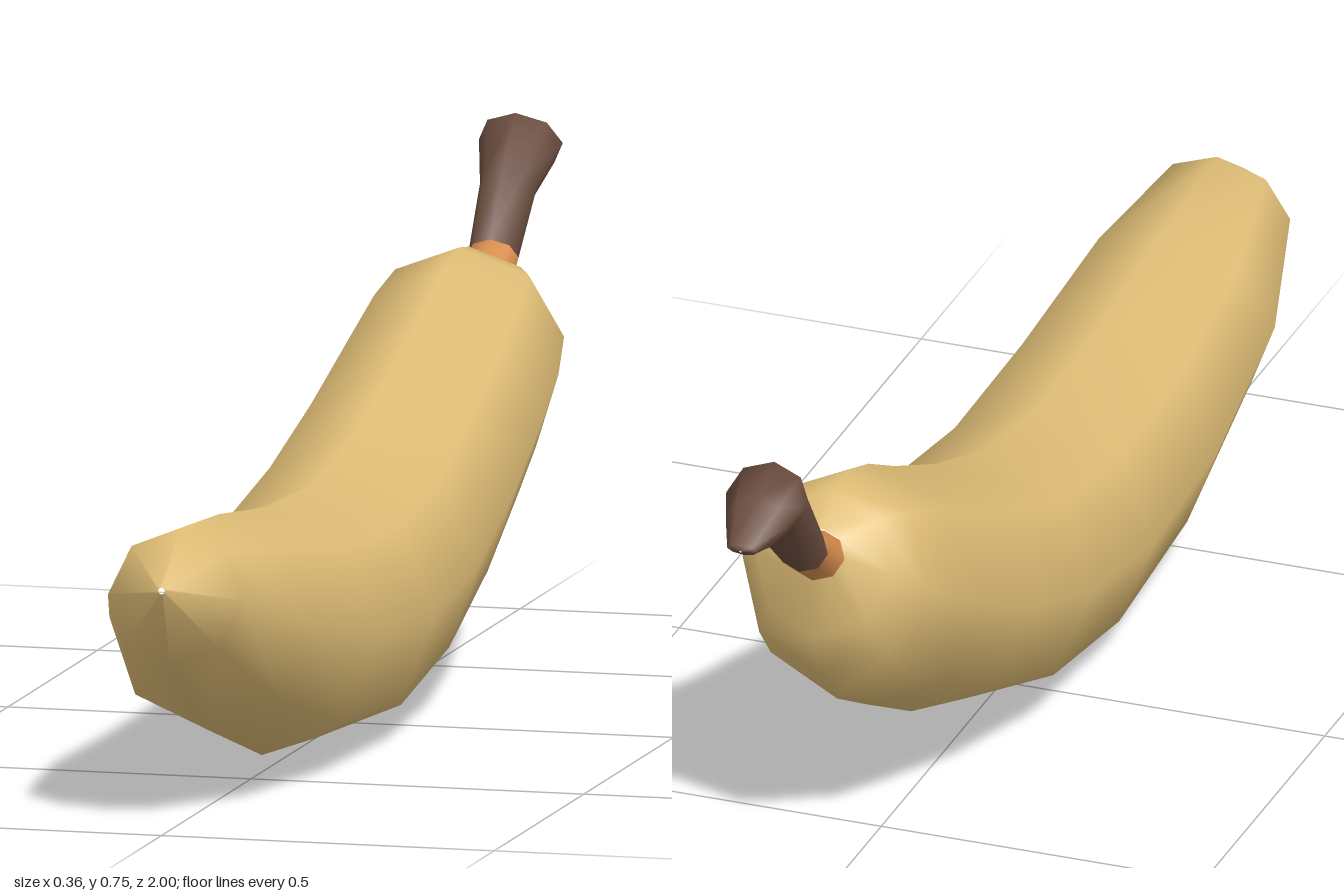
import * as THREE from 'three';

const SIDES = 8;

// Skin a smooth tube over rings given as
// [topZ, topY, bottomZ, bottomY, halfWidth, centreX], running from +z to -z.
function loft(rings) {
  const pos = [], index = [];
  for (const [tz, ty, bz, by, w, cx] of rings) {
    for (let j = 0; j < SIDES; j++) {
      const a = (j / SIDES) * Math.PI * 2;
      const c = Math.cos(a) / 2;
      pos.push(cx + Math.sin(a) * w, (ty + by) / 2 + c * (ty - by), (tz + bz) / 2 + c * (tz - bz));
    }
  }
  for (let i = 0; i < rings.length - 1; i++) {
    for (let j = 0; j < SIDES; j++) {
      const k = (j + 1) % SIDES;
      const a = i * SIDES + j, b = i * SIDES + k, c = b + SIDES, d = a + SIDES;
      index.push(a, b, c, a, c, d);
    }
  }
  const geo = new THREE.BufferGeometry();
  geo.setAttribute('position', new THREE.Float32BufferAttribute(pos, 3));
  geo.setIndex(index);
  geo.computeVertexNormals();
  return geo;
}

export function createModel() {
  const group = new THREE.Group();
  const add = (name, colorName, color, rings) => {
    const material = new THREE.MeshStandardMaterial({ color });
    material.name = colorName;
    const mesh = new THREE.Mesh(loft(rings), material);
    mesh.name = name;
    group.add(mesh);
  };

  // Curved fruit body, from blossom tip to neck
  add('body', 'banana yellow', 0xdfbd76, [
    [1.0, 0.365, 1.0, 0.355, 0.005, 0],
    [0.89, 0.435, 0.95, 0.24, 0.102, 0],
    [0.68, 0.42, 0.75, 0.115, 0.155, 0],
    [0.41, 0.385, 0.44, 0.025, 0.175, 0],
    [0.15, 0.375, 0.14, 0.0, 0.182, 0],
    [-0.07, 0.41, -0.14, 0.04, 0.181, 0],
    [-0.25, 0.47, -0.36, 0.12, 0.173, 0.006],
    [-0.41, 0.54, -0.53, 0.21, 0.163, 0.014],
    [-0.5, 0.585, -0.63, 0.265, 0.155, 0.02],
    [-0.57, 0.605, -0.69, 0.335, 0.142, 0.024],
    [-0.62, 0.598, -0.71, 0.4, 0.105, 0.026],
    [-0.675, 0.56, -0.715, 0.498, 0.042, 0.026],
  ]);

  // Short collar between body and stem
  add('collar', 'orange', 0xd88c4e, [
    [-0.665, 0.552, -0.708, 0.49, 0.043, 0.026],
    [-0.735, 0.59, -0.768, 0.535, 0.038, 0.027],
  ]);

  // Stem, flaring and bending over to a flattened cut end
  add('stem', 'stem brown', 0x6b4d3f, [
    [-0.733, 0.588, -0.766, 0.533, 0.038, 0.027],
    [-0.8, 0.685, -0.865, 0.622, 0.043, 0.028],
    [-0.86, 0.755, -0.92, 0.662, 0.063, 0.031],
    [-0.925, 0.727, -0.95, 0.656, 0.046, 0.031],
    [-0.998, 0.684, -0.988, 0.664, 0.023, 0.031],
    [-0.999, 0.675, -0.999, 0.673, 0.002, 0.031],
  ]);

  return group;
}
